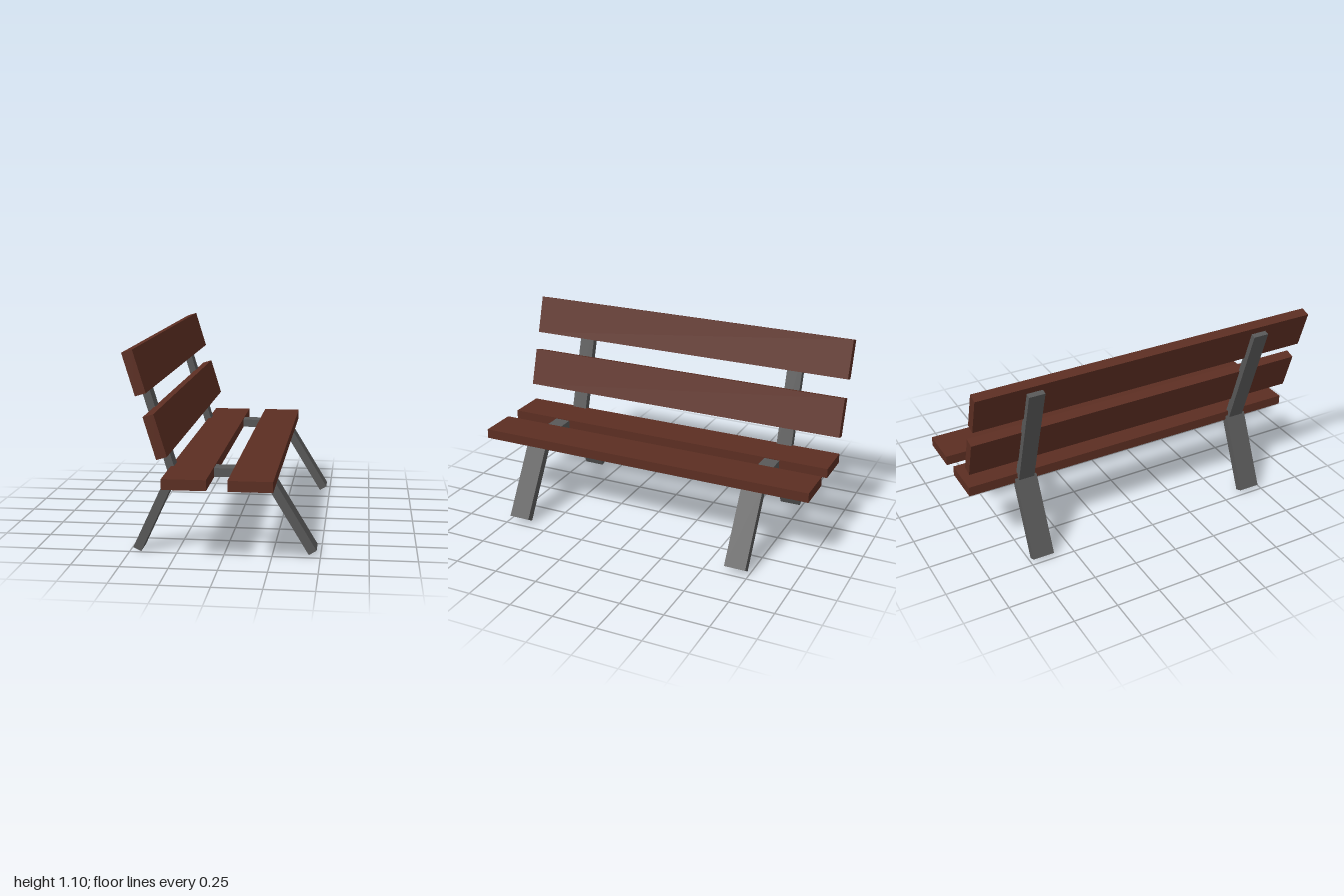
import * as THREE from 'three';

const wood = new THREE.MeshStandardMaterial({ color: 0x5c2e22, flatShading: true });
const metal = new THREE.MeshStandardMaterial({ color: 0x585858, flatShading: true });

export function createModel() {
  const bench = new THREE.Group();
  bench.name = 'bench';

  // Full-length board: centre, section size and tilt in the xy plane
  function plank(name, x, y, w, h, tilt = 0) {
    const mesh = new THREE.Mesh(new THREE.BoxGeometry(w, h, 2), wood);
    mesh.name = name;
    mesh.position.set(x, y, 0);
    mesh.rotation.z = tilt;
    bench.add(mesh);
  }

  // Square-ended bar running between two points of the xy plane
  function bar(parent, name, [x1, y1], [x2, y2], thickness, depth) {
    const dx = x2 - x1, dy = y2 - y1;
    const mesh = new THREE.Mesh(new THREE.BoxGeometry(thickness, Math.hypot(dx, dy), depth), metal);
    mesh.name = name;
    mesh.position.set((x1 + x2) / 2, (y1 + y2) / 2, 0);
    mesh.rotation.z = Math.atan2(-dx, dy);
    parent.add(mesh);
  }

  // Seat and leaning backrest boards
  plank('rearSeatPlank', -0.168, 0.433, 0.225, 0.055);
  plank('frontSeatPlank', 0.163, 0.433, 0.225, 0.055);
  plank('lowerBackPlank', -0.307, 0.67, 0.056, 0.222, 0.294);
  plank('upperBackPlank', -0.407, 0.985, 0.056, 0.222, 0.294);

  // A matching support frame near each end
  for (const side of [-1, 1]) {
    const frame = new THREE.Group();
    frame.name = side > 0 ? 'leftFrame' : 'rightFrame';
    frame.position.z = side * 0.675;
    bar(frame, 'frontLeg', [0.46, 0.024], [0.217, 0.425], 0.047, 0.122);
    bar(frame, 'rearLeg', [-0.462, 0.011], [-0.27, 0.425], 0.047, 0.122);
    bar(frame, 'backSupport', [-0.273, 0.42], [-0.463, 1.043], 0.041, 0.09);
    bar(frame, 'seatRail', [-0.27, 0.433], [0.24, 0.433], 0.046, 0.09);
    bench.add(frame);
  }
  return bench;
}
